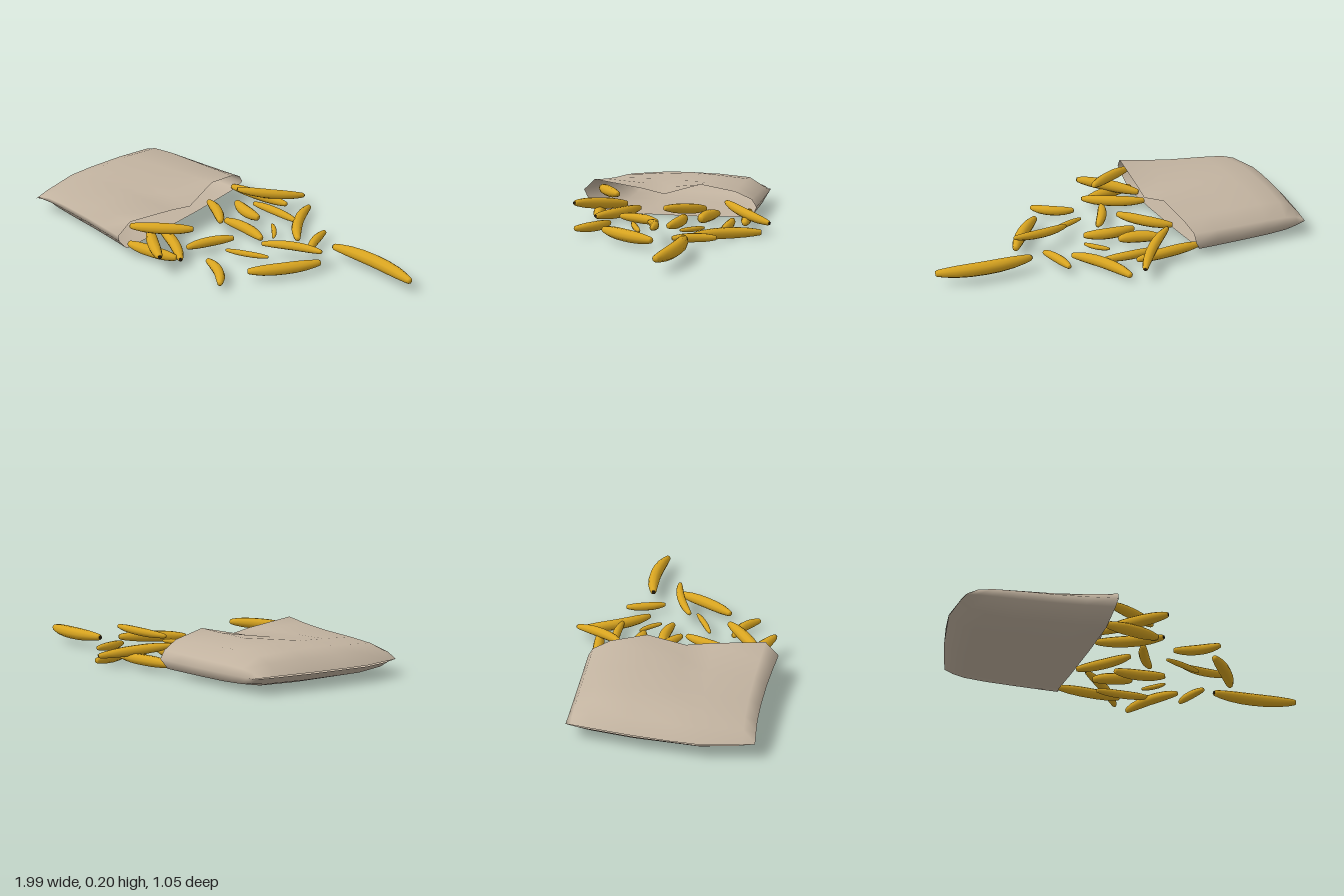
import * as THREE from 'three';

const paper = new THREE.MeshStandardMaterial({ color: 0xc2b3a0, side: THREE.DoubleSide });
paper.name = 'paper';
const yellow = new THREE.MeshStandardMaterial({ color: 0xd9a520 });
yellow.name = 'bananaYellow';
const dark = new THREE.MeshStandardMaterial({ color: 0x2a1f10 });
dark.name = 'darkTip';
const { lerp } = THREE.MathUtils;

// Smooth skin over closed rings of points
function loft(rings) {
  const n = rings[0].length, idx = [];
  for (let i = 0; i < rings.length - 1; i++) {
    for (let j = 0; j < n; j++) {
      const a = i * n + j, b = i * n + (j + 1) % n;
      idx.push(a, b, a + n, b, b + n, a + n);
    }
  }
  const g = new THREE.BufferGeometry().setFromPoints(rings.flat());
  g.setIndex(idx);
  g.computeVertexNormals();
  return g;
}

// Open rim of the bag, clockwise from the back edge: [z, y, x]
const rim = [
  [-0.41, 0.08, -0.25], [-0.385, 0.12, -0.25], [-0.3, 0.16, -0.235], [-0.12, 0.195, -0.22],
  [0.07, 0.14, -0.205], [0.2, 0.165, -0.22], [0.46, 0.2, -0.25], [0.525, 0.14, -0.27],
  [0.51, 0.1, -0.28], [0.44, 0.022, -0.3], [0.2, 0.012, -0.3], [-0.1, 0.01, -0.3],
  [-0.3, 0.015, -0.3], [-0.39, 0.035, -0.28],
];

// The closed end bulges outwards and is cut back at the rear corner
const seamX = (z) => -1 + (z < 0.27 ? 0.12 * Math.pow((0.27 - z) / 0.68, 1.5) : 0.2 * (z - 0.27));

function createBag() {
  // [position from seam to rim, fullness, blend towards the rim shape]
  const stations = [[0, 0.03, 0], [0.07, 0.58, 0], [0.17, 0.86, 0], [0.35, 0.98, 0.08],
    [0.6, 1, 0.3], [0.8, 1, 0.6], [1, 1, 1]];
  const rings = stations.map(([t, full, k]) => rim.map(([z, y, x]) => {
    // Away from the rim the top is level and the front side narrower
    const bodyZ = z > 0.4 ? z * (0.84 + 0.05 * t) : z;
    const bodyY = y > 0.13 && z < 0.5 ? 0.178 - 0.15 * bodyZ * bodyZ : y * 0.9;
    const ringZ = lerp(bodyZ, z, k);
    const ringY = lerp(lerp(0.075, bodyY, full), y, k);
    return new THREE.Vector3(lerp(seamX(bodyZ), x, t), ringY, ringZ);
  }));
  const bag = new THREE.Mesh(loft(rings), paper);
  bag.name = 'paperBag';
  return bag;
}

// Bent body between two ends, tapering to blunt tips: [position, thickness]
const taper = [[0, 0], [0, 0.35], [0.015, 0.5], [0.08, 0.66], [0.2, 0.86], [0.35, 0.98], [0.5, 1],
  [0.65, 0.98], [0.8, 0.87], [0.92, 0.66], [0.985, 0.48], [1, 0.33], [1, 0]];
const up = new THREE.Vector3(0, 1, 0);

function createBanana({ from, to, y, radius, bend = 0, rise = 0, darkEnds = [] }, index) {
  const a = new THREE.Vector3(from[0], y - rise / 2, from[1]);
  const b = new THREE.Vector3(to[0], y + rise / 2, to[1]);
  const side = b.clone().sub(a).cross(up).normalize();
  const mid = a.clone().lerp(b, 0.5).addScaledVector(side, bend * 2);
  const curve = new THREE.QuadraticBezierCurve3(a, mid, b);
  const rings = taper.map(([t, s]) => {
    const c = curve.getPoint(t), T = curve.getTangent(t);
    const N = T.clone().cross(up).normalize(), B = T.clone().cross(N);
    return Array.from({ length: 10 }, (_, j) => {
      const w = j / 10 * Math.PI * 2;
      return c.clone().addScaledVector(N, Math.cos(w) * radius * s).addScaledVector(B, Math.sin(w) * radius * s);
    });
  });
  const group = new THREE.Group();
  group.name = 'banana' + (index + 1);
  const skin = new THREE.Mesh(loft(rings), yellow);
  skin.name = 'bananaSkin';
  group.add(skin);
  darkEnds.forEach((t) => {
    const tip = new THREE.Mesh(new THREE.CylinderGeometry(radius * 0.3, radius * 0.3, 0.006, 10), dark);
    tip.position.copy(curve.getPoint(t));
    tip.quaternion.setFromUnitVectors(up, curve.getTangent(t));
    tip.name = 'bananaTip';
    group.add(tip);
  });
  return group;
}

// Bananas still leaning out of the bag; ends are [x, z]
const inBag = [
  { from: [0.085, -0.52], to: [-0.165, -0.265], y: 0.09, radius: 0.025, bend: -0.02, rise: 0.055, darkEnds: [0, 1] },
  { from: [-0.29, -0.37], to: [0.065, -0.395], y: 0.052, radius: 0.027 },
  { from: [-0.26, -0.14], to: [-0.03, 0.035], y: 0.08, radius: 0.027, bend: -0.015, rise: 0.035 },
  { from: [-0.28, 0.22], to: [0.01, 0.385], y: 0.05, radius: 0.028, bend: -0.02, darkEnds: [1] },
  { from: [-0.28, 0.43], to: [-0.005, 0.27], y: 0.16, radius: 0.028, bend: 0.01, rise: 0.012 },
  { from: [-0.28, 0.29], to: [-0.015, 0.505], y: 0.09, radius: 0.03, bend: 0.008, rise: 0.04, darkEnds: [1] },
  { from: [-0.3, 0.425], to: [-0.02, 0.38], y: 0.045, radius: 0.03, bend: 0.008 },
];

// Bananas spilled on the ground
const spilled = [
  { from: [0.525, -0.175], to: [0.993, -0.14], y: 0.065, radius: 0.033, bend: -0.03, darkEnds: [0] },
  { from: [0.145, -0.49], to: [0.31, -0.17], y: 0.028, radius: 0.028, bend: 0.03 },
  { from: [0.38, -0.305], to: [0.43, -0.1], y: 0.04, radius: 0.022, bend: 0.01 },
  { from: [-0.09, -0.31], to: [0.195, -0.3], y: 0.04, radius: 0.022, bend: -0.01 },
  { from: [-0.14, -0.23], to: [0.055, -0.17], y: 0.062, radius: 0.03, bend: 0.015 },
  { from: [0.12, -0.2], to: [0.21, -0.095], y: 0.035, radius: 0.013, bend: -0.008 },
  { from: [-0.08, -0.06], to: [0.185, -0.03], y: 0.048, radius: 0.028, bend: -0.02 },
  { from: [0.25, 0.05], to: [0.555, -0.03], y: 0.095, radius: 0.022, bend: -0.02, rise: 0.03 },
  { from: [0.55, -0.03], to: [0.33, 0.26], y: 0.05, radius: 0.03, bend: -0.015 },
  { from: [0.115, 0.165], to: [0.32, 0.085], y: 0.045, radius: 0.015, bend: 0.004 },
  { from: [0.07, 0.05], to: [-0.05, 0.27], y: 0.045, radius: 0.025, bend: 0.012 },
  { from: [0.1, 0.29], to: [0.29, 0.42], y: 0.038, radius: 0.025, bend: -0.025 },
];

export function createModel() {
  const model = new THREE.Group();
  model.name = 'spilledBananaBag';
  model.add(createBag());
  const pile = new THREE.Group();
  pile.name = 'bananas';
  [...inBag, ...spilled].forEach((spec, i) => pile.add(createBanana(spec, i)));
  model.add(pile);
  return model;
}
